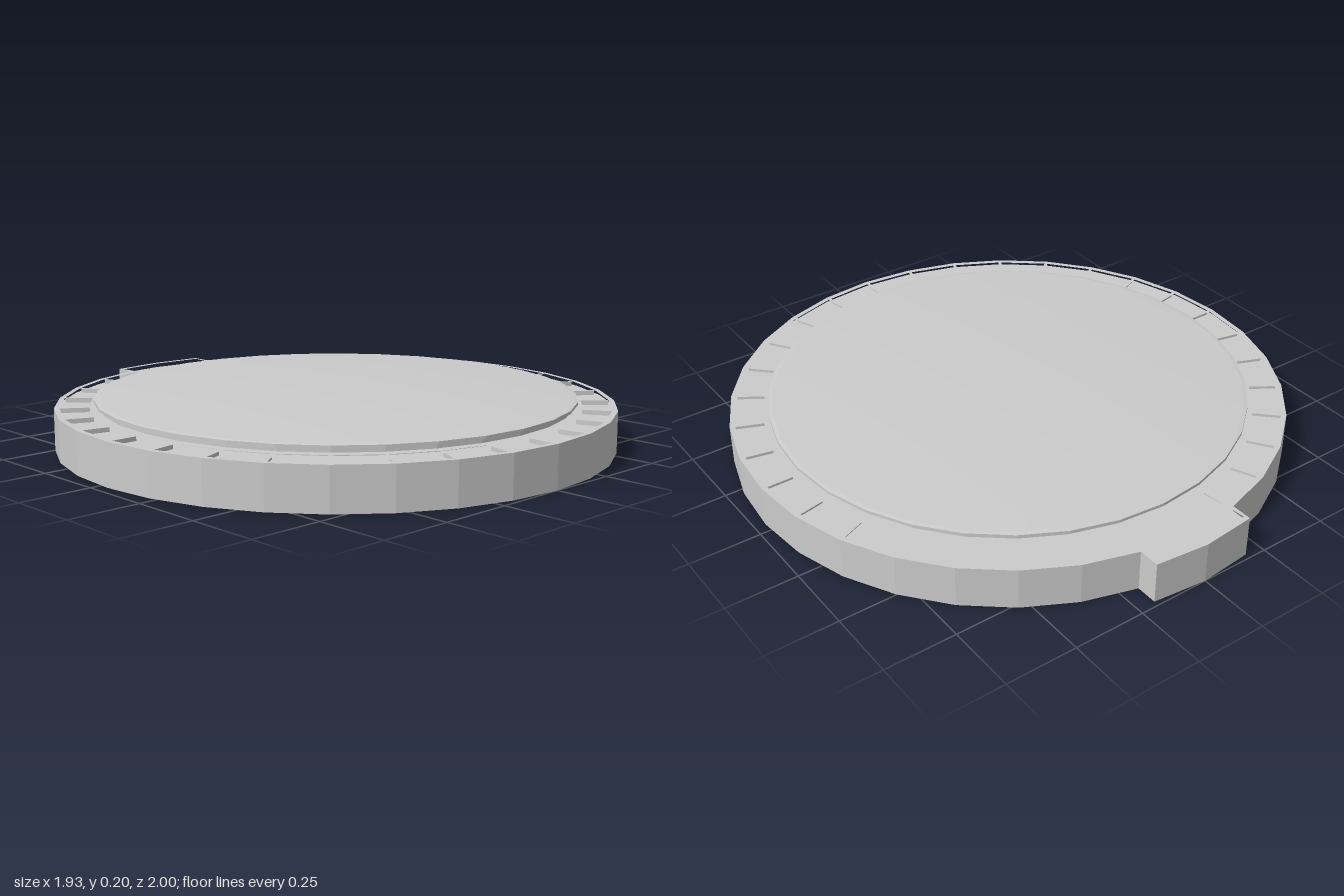
import * as THREE from 'three';

const SIDES = 32;
const STEP = (Math.PI * 2) / SIDES;
const R = 0.963;        // outer radius of the rim
const CELL_IN = 0.847;  // radial limits of the recessed cells
const CELL_OUT = 0.944;
const SPOKE = 0.006;    // half width of the bars between cells
const TAB = 0.074;      // how far the tab is pushed out at the back
const TOP = 0.145;
const FLOOR = 0.127;
const CENTRE_Z = 0.037;

const material = new THREE.MeshStandardMaterial({ color: 0xcccccc });
const flatMaterial = new THREE.MeshStandardMaterial({ color: 0xcccccc, flatShading: true });

// Plan coordinates: +y of the shape points to the back (-z).
// Angle 0 is straight back; vertices of the polygon sit at whole steps.
const at = (r, step, side = 0, push = 0) => {
  const a = step * STEP;
  return new THREE.Vector2(
    r * Math.sin(a) + side * Math.cos(a),
    r * Math.cos(a) - side * Math.sin(a) + push
  );
};

// Polygon outline with two facets at the back pushed straight out as a tab
function outline() {
  const pts = [];
  for (let i = 1; i < SIDES; i++) pts.push(at(R, i));
  for (let i = -1; i <= 1; i++) pts.push(at(R, i, 0, TAB));
  return pts;
}

function slab(name, shape, y0, y1) {
  const geometry = new THREE.ExtrudeGeometry(shape, { depth: y1 - y0, bevelEnabled: false });
  geometry.rotateX(-Math.PI / 2);
  const mesh = new THREE.Mesh(geometry, material);
  mesh.name = name;
  mesh.position.y = y0;
  return mesh;
}

function lathe(name, profile, mat) {
  const pts = profile.map(([r, y]) => new THREE.Vector2(r, y));
  const mesh = new THREE.Mesh(new THREE.LatheGeometry(pts, SIDES), mat);
  mesh.name = name;
  return mesh;
}

export function createModel() {
  const group = new THREE.Group();
  group.name = 'roundLid';

  // Solid base up to the floor of the cells
  group.add(slab('base', new THREE.Shape(outline()), 0, FLOOR));

  // Raised lip, bars and inner ring: the outline pierced by the cells
  const frame = new THREE.Shape(outline());
  for (let i = 1; i < SIDES - 1; i++) {
    frame.holes.push(new THREE.Path([
      at(CELL_IN, i, SPOKE), at(CELL_OUT, i, SPOKE),
      at(CELL_OUT, i + 1, -SPOKE), at(CELL_IN, i + 1, -SPOKE),
    ]));
  }
  // One wide cell on the tab
  frame.holes.push(new THREE.Path([
    at(CELL_IN, -1, SPOKE), at(CELL_OUT, -1, SPOKE, TAB),
    at(CELL_OUT, 0, 0, TAB),
    at(CELL_OUT, 1, -SPOKE, TAB), at(CELL_IN, 1, -SPOKE),
    at(CELL_IN, 0),
  ]));
  group.add(slab('rimFrame', frame, FLOOR, TOP));

  // Stepped collar that carries the dome
  group.add(lathe('collar', [
    [0.815, TOP - 0.01], [0.815, 0.158], [0.83, 0.16], [0.83, 0.17], [0.818, 0.172],
  ], flatMaterial));

  // Shallow smooth dome
  const dome = [];
  for (let i = 0; i <= 10; i++) {
    const r = 0.818 * (1 - i / 10);
    dome.push([r, 0.197 - 0.025 * (r / 0.818) ** 2]);
  }
  group.add(lathe('dome', dome, material));

  group.children.forEach((part) => { part.position.z = CENTRE_Z; });
  return group;
}
